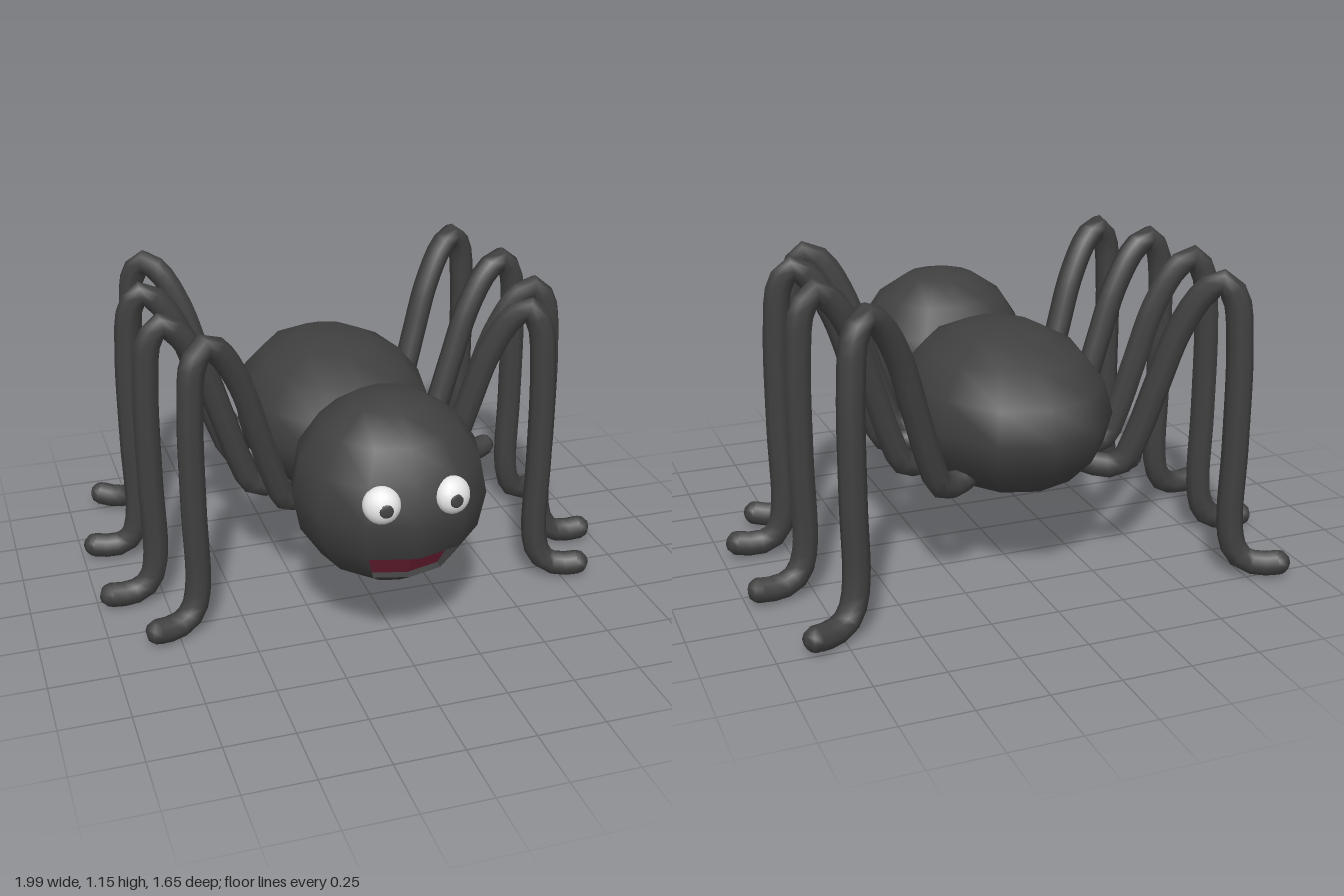
import * as THREE from 'three';

const mat = (name, color) => {
  const m = new THREE.MeshStandardMaterial({ color });
  m.name = name;
  return m;
};

export function createModel() {
  const black = mat('charcoal', 0x404040);
  const white = mat('eye white', 0xe8e8e8);
  const pupilGrey = mat('pupil grey', 0x404040);
  const red = mat('mouth red', 0x6e2034);

  const model = new THREE.Group();
  model.name = 'spider';
  const add = (name, geometry, material, parent = model) => {
    const mesh = new THREE.Mesh(geometry, material);
    mesh.name = name;
    parent.add(mesh);
    return mesh;
  };
  const fromPoints = (points) => {
    const g = new THREE.BufferGeometry().setFromPoints(points);
    g.computeVertexNormals();
    return g;
  };

  // Abdomen
  const abdomen = add('abdomen', new THREE.SphereGeometry(1, 12, 8), black);
  abdomen.scale.set(0.378, 0.308, 0.5);
  abdomen.position.set(-0.009, 0.595, -0.2);

  // Head, with two facets opened for the mouth
  const head = new THREE.Group();
  head.name = 'head';
  head.position.set(-0.01, 0.595, 0.47);
  model.add(head);
  const skull = new THREE.SphereGeometry(0.348, 12, 8);
  const inMouth = (i) => {
    const row = Math.floor(i / 13), col = i % 13;
    return row >= 5 && row <= 6 && col >= 2 && col <= 4;
  };
  const kept = [];
  const index = skull.index.array;
  for (let i = 0; i < index.length; i += 3) {
    const tri = [index[i], index[i + 1], index[i + 2]];
    if (!tri.every(inMouth)) kept.push(...tri);
  }
  skull.setIndex(kept);
  add('skull', skull, black, head);

  // Mouth walls and recessed red floor, deeper under the upper lip
  const rimPoint = (row, col) =>
    new THREE.Vector3().fromBufferAttribute(skull.attributes.position, row * 13 + col);
  const inset = (p) =>
    p.clone().add(new THREE.Vector3(0, 0.003, p.y > -0.2 ? -0.05 : -0.03));
  const rim = [[6, 2], [6, 3], [6, 4], [5, 4], [5, 3], [5, 2]].map(([r, c]) => rimPoint(r, c));
  const walls = [];
  rim.forEach((p, i) => {
    const q = rim[(i + 1) % rim.length];
    walls.push(p, q, inset(q), p, inset(q), inset(p));
  });
  add('mouthWalls', fromPoints(walls), black, head);
  const floor = [];
  for (const col of [2, 3]) {
    const [a, b, c, d] = [[5, col], [6, col], [6, col + 1], [5, col + 1]]
      .map(([r, k]) => inset(rimPoint(r, k)));
    floor.push(a, b, c, a, c, d);
  }
  add('mouthFloor', fromPoints(floor), red, head);

  // Eyes, lying against the curve of the head
  for (const side of [-1, 1]) {
    const name = side > 0 ? 'left' : 'right';
    const eye = add(name + 'Eye', new THREE.SphereGeometry(0.065, 16, 12), white, head);
    eye.position.set(side * 0.125, 0.082, 0.3);
    eye.scale.z = 0.78;
    eye.rotation.set(-0.25, side * 0.3, 0);
    const pupil = add(name + 'Pupil', new THREE.SphereGeometry(0.024, 12, 8), pupilGrey, head);
    pupil.position.set(side * 0.123, 0.081, 0.348);
    pupil.scale.z = 0.2;
    pupil.rotation.set(-0.1, side * 0.1, 0);
  }

  // Legs: one bent profile [fraction outwards, height] swept from hip to toe
  const profile = [
    [-0.14, 0.425], [-0.02, 0.405], [0.07, 0.425], [0.14, 0.52], [0.24, 0.72], [0.345, 0.925],
    [0.47, 1.065], [0.56, 1.102], [0.63, 1.05], [0.663, 0.88], [0.67, 0.5], [0.665, 0.2],
    [0.695, 0.108], [0.755, 0.063], [0.85, 0.051], [0.94, 0.058],
  ];
  const radius = 0.0475;
  const addLeg = (name, [x0, z0], [x1, z1]) => {
    const leg = new THREE.Group();
    leg.name = name;
    model.add(leg);
    const points = profile.map(([t, y]) =>
      new THREE.Vector3(x0 + (x1 - x0) * t, y, z0 + (z1 - z0) * t));
    const curve = new THREE.CatmullRomCurve3(points);
    add('limb', new THREE.TubeGeometry(curve, 44, radius, 8), black, leg);
    for (const [part, p] of [['hip', points[0]], ['toe', points[points.length - 1]]]) {
      const cap = add(part, new THREE.SphereGeometry(radius, 8, 6), black, leg);
      cap.position.copy(p);
      cap.scale.set(0.9, 0.95, 0.95);
      cap.rotation.y = -Math.atan2(z1 - z0, x1 - x0);
    }
  };
  const legs = [
    ['leftLeg1', [0.25, 0.147], [0.85, 0.36]],
    ['leftLeg2', [0.33, 0.01], [0.978, 0.1]],
    ['leftLeg3', [0.34, -0.215], [0.992, -0.325]],
    ['leftLeg4', [0.29, -0.455], [0.9, -0.75]],
    ['rightLeg1', [-0.26, 0.147], [-0.872, 0.36]],
    ['rightLeg2', [-0.34, 0.0], [-0.992, 0.05]],
    ['rightLeg3', [-0.35, -0.26], [-0.992, -0.355]],
    ['rightLeg4', [-0.31, -0.485], [-0.896, -0.802]],
  ];
  legs.forEach((l) => addLeg(...l));

  return model;
}
